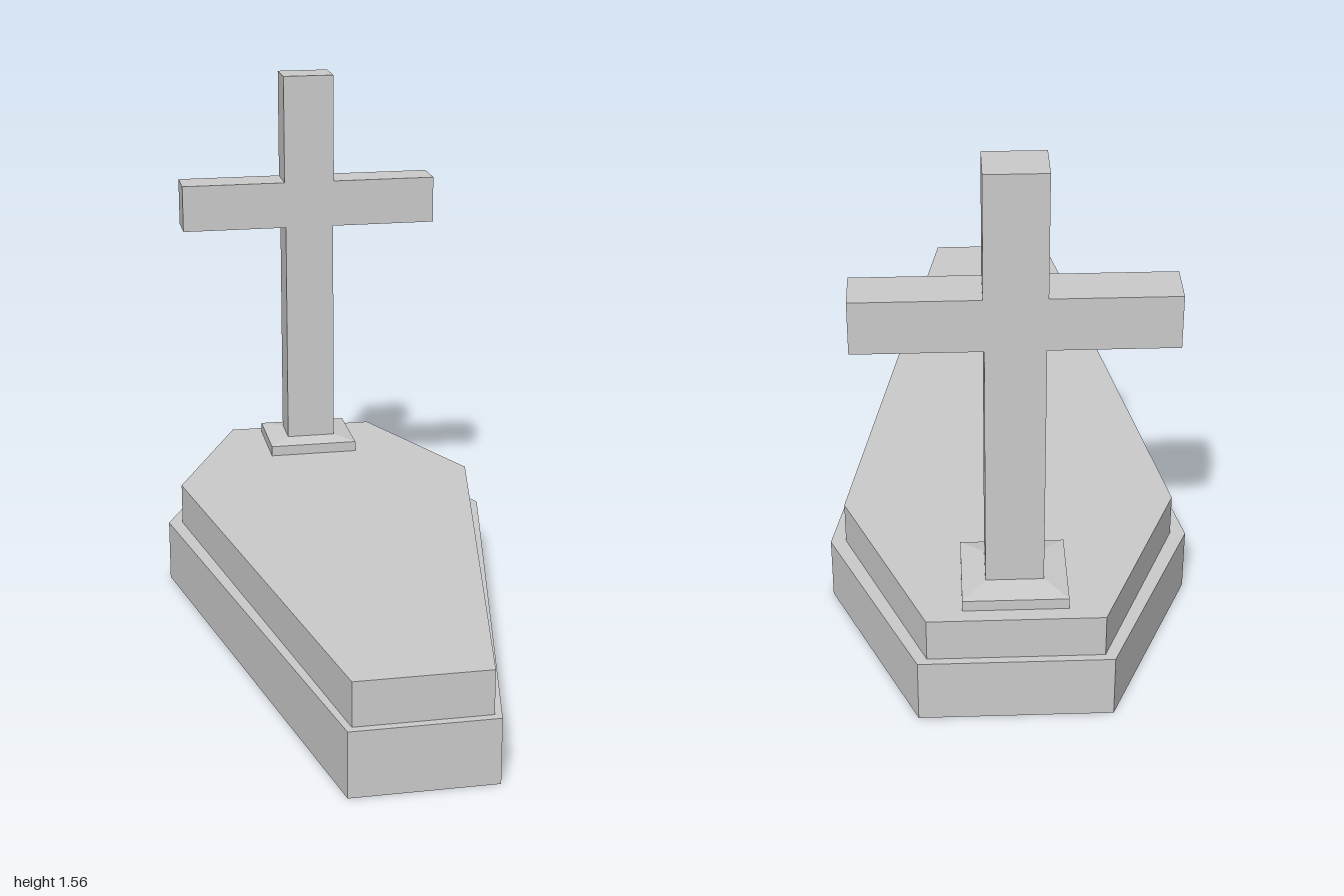
import * as THREE from 'three';

const material = new THREE.MeshStandardMaterial({ color: 0xcccccc, flatShading: true });

function addMesh(group, name, geometry) {
  const mesh = new THREE.Mesh(geometry, material);
  mesh.name = name;
  group.add(mesh);
  return mesh;
}

// Symmetric outline: half-profile points [x, y] are mirrored across x = 0
function mirroredShape(half) {
  const left = half.map(([x, y]) => [-x, y]).reverse();
  return new THREE.Shape([...half, ...left].map(([x, y]) => new THREE.Vector2(x, y)));
}

// Six-sided slab; half-profile points are [x, z]
function slab(half, bottom, top) {
  const shape = mirroredShape(half.map(([x, z]) => [x, -z]));
  return new THREE.ExtrudeGeometry(shape, { depth: top - bottom, bevelEnabled: false })
    .rotateX(-Math.PI / 2)
    .translate(0, bottom, 0);
}

export function createModel() {
  const model = new THREE.Group();
  model.name = 'coffinGrave';
  const crossZ = -0.81;

  // Stepped coffin-shaped slabs
  addMesh(model, 'lowerSlab', slab([[0.2, 1], [0.505, -0.48], [0.26, -1]], 0, 0.187));
  addMesh(model, 'upperSlab', slab([[0.185, 0.977], [0.462, -0.475], [0.235, -0.98]], 0.187, 0.313));

  // Plinth with a shallow sloping cap
  addMesh(model, 'plinth', new THREE.BoxGeometry(0.28, 0.032, 0.246)).position.set(0, 0.329, crossZ - 0.007);
  const cap = new THREE.BoxGeometry(0.28, 0.012, 0.246);
  const pos = cap.attributes.position;
  for (let i = 0; i < pos.count; i++) {
    if (pos.getY(i) > 0) {
      pos.setX(i, Math.sign(pos.getX(i)) * 0.077);
      pos.setZ(i, Math.sign(pos.getZ(i)) * 0.06 + 0.007);
    }
  }
  cap.computeVertexNormals();
  addMesh(model, 'plinthCap', cap).position.set(0, 0.351, crossZ - 0.007);

  // Upright cross
  const outline = mirroredShape([
    [0.077, 0.35], [0.077, 1.07], [0.408, 1.07], [0.408, 1.217], [0.08, 1.217], [0.08, 1.557],
  ]);
  const cross = new THREE.ExtrudeGeometry(outline, { depth: 0.12, bevelEnabled: false });
  addMesh(model, 'cross', cross).position.z = crossZ - 0.06;

  return model;
}
